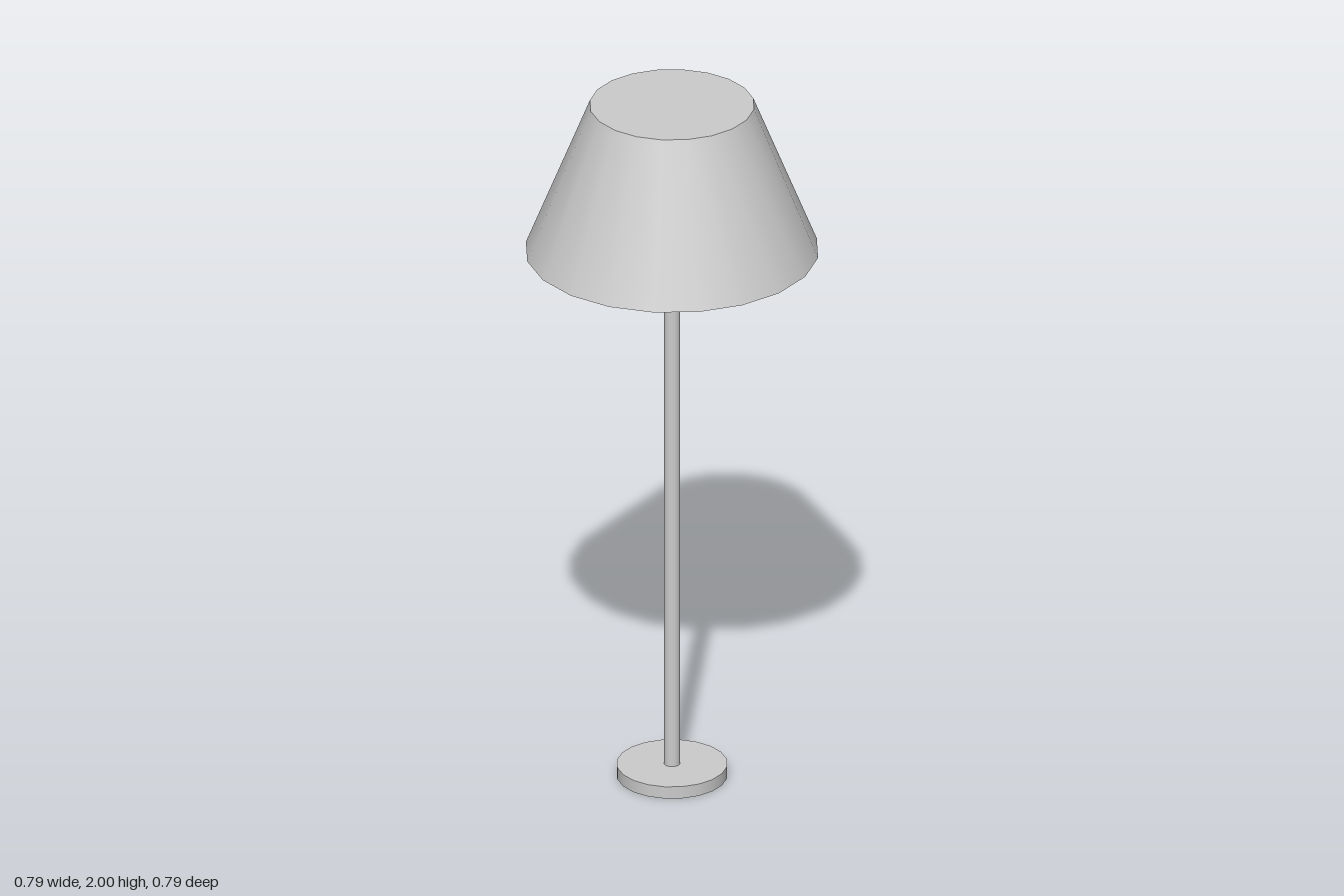
import * as THREE from 'three';

const SIDES = 20;

export function createModel() {
  const lamp = new THREE.Group();
  lamp.name = 'floorLamp';
  const smooth = new THREE.MeshStandardMaterial({ color: 0xcccccc });
  const faceted = new THREE.MeshStandardMaterial({ color: 0xcccccc, flatShading: true });

  const add = (name, geometry, material, parent = lamp) => {
    const mesh = new THREE.Mesh(geometry, material);
    mesh.name = name;
    parent.add(mesh);
    return mesh;
  };
  // Solid of revolution from [radius, height] points, outward faces when listed upwards
  const lathe = (points) =>
    new THREE.LatheGeometry(points.map(([r, y]) => new THREE.Vector2(r, y)), SIDES);

  // Round foot and slender pole, which ends at the ceiling of the shade
  const footHeight = 0.035, ceiling = 1.785;
  add('base', new THREE.CylinderGeometry(0.15, 0.15, footHeight, SIDES), smooth)
    .position.y = footHeight / 2;
  const poleLength = ceiling - footHeight;
  add('pole', new THREE.CylinderGeometry(0.022, 0.022, poleLength, SIDES), smooth)
    .position.y = footHeight + poleLength / 2;

  // Thick tapered shade, closed on top and hollowed from below
  const bottom = 1.567, top = 2;
  const outer = 0.397, inner = 0.353, topRadius = 0.223, ceilingRadius = 0.252;
  const shade = new THREE.Group();
  shade.name = 'shade';
  lamp.add(shade);
  add('shadeOuterWall', lathe([[outer, bottom], [topRadius, top]]), smooth, shade);
  add('shadeTop', lathe([[topRadius, top], [0, top]]), faceted, shade);
  add('shadeRim', lathe([[inner, bottom], [outer, bottom]]), faceted, shade);
  add('shadeHollow', lathe([[0, ceiling], [ceilingRadius, ceiling], [inner, bottom]]), faceted, shade);

  return lamp;
}
